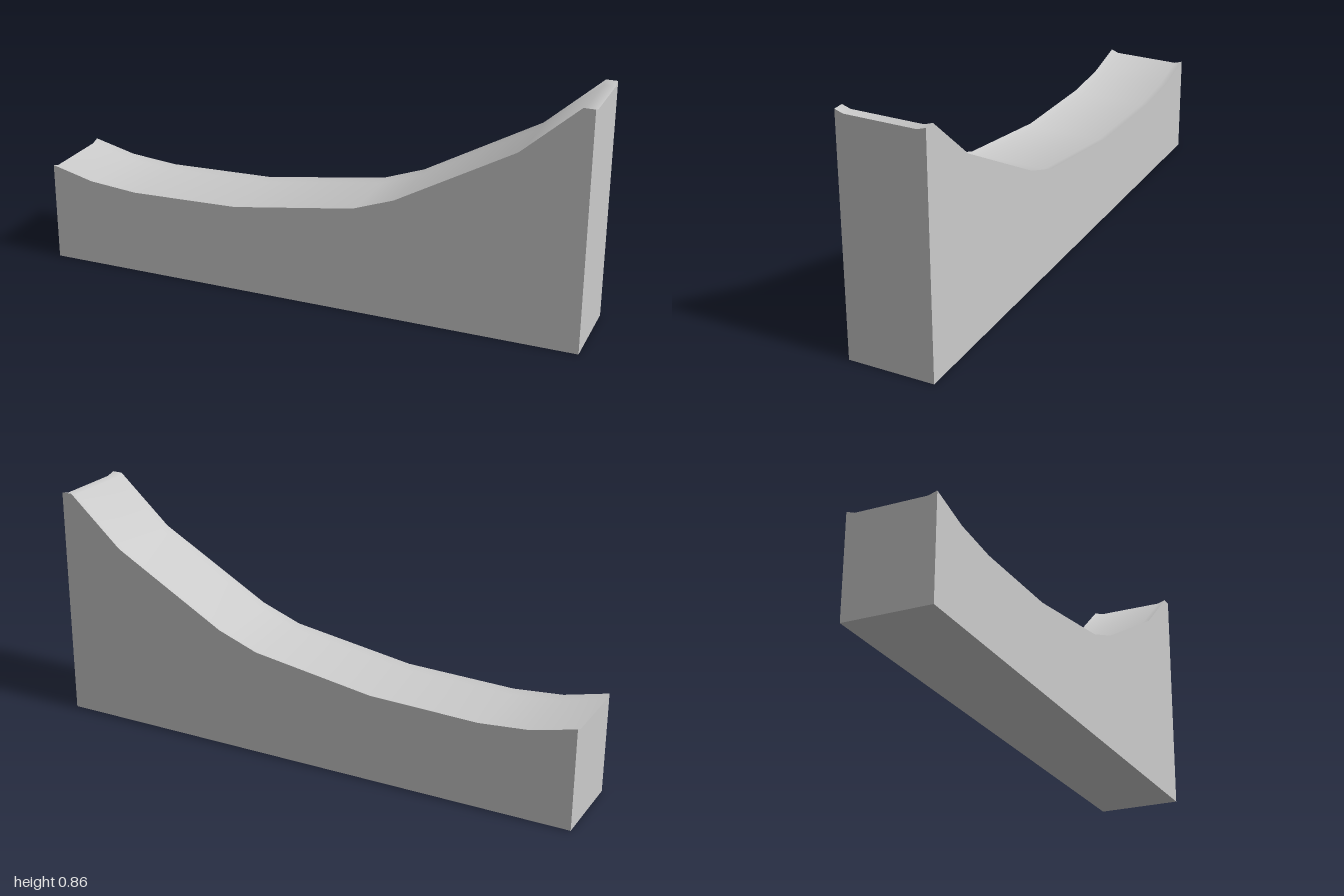
import * as THREE from 'three';
import { toCreasedNormals } from 'three/addons/utils/BufferGeometryUtils.js';

// Rim height along the length: [x, y]
const PROFILE = [
  [-1, 0.368], [-0.84, 0.328], [-0.66, 0.312], [-0.26, 0.322], [0.19, 0.39],
  [0.34, 0.445], [0.76, 0.68], [0.96, 0.858], [1, 0.858],
];

// Columns across the width: [z, drop below the rim]
const COLUMNS = [[-0.155, 0], [-0.125, 0.01], [0.125, 0.01], [0.155, 0]];

// Loops of eight points (dished top, flat bottom) joined along x
function blockGeometry() {
  const positions = [];
  const index = [];
  const quad = (a, b, c, d) => index.push(a, b, c, a, c, d);
  const n = COLUMNS.length * 2;

  for (const [x, y] of PROFILE) {
    for (const [z, drop] of COLUMNS) positions.push(x, y - drop, z);
    for (const [z] of [...COLUMNS].reverse()) positions.push(x, 0, z);
  }

  // Top, sides and bottom
  for (let i = 0; i < PROFILE.length - 1; i++) {
    for (let j = 0; j < n; j++) {
      const k = (j + 1) % n;
      quad(i * n + j, i * n + k, (i + 1) * n + k, (i + 1) * n + j);
    }
  }

  // End faces
  const last = (PROFILE.length - 1) * n;
  for (let j = 0; j < COLUMNS.length - 1; j++) {
    const k = n - 1 - j;
    quad(last + j, last + j + 1, last + k - 1, last + k);
    quad(k, k - 1, j + 1, j);
  }

  const geometry = new THREE.BufferGeometry();
  geometry.setAttribute('position', new THREE.Float32BufferAttribute(positions, 3));
  geometry.setIndex(index);
  return toCreasedNormals(geometry, 1);
}

export function createModel() {
  const group = new THREE.Group();
  group.name = 'curvedRamp';
  const block = new THREE.Mesh(
    blockGeometry(),
    new THREE.MeshStandardMaterial({ color: 0xcccccc }),
  );
  block.name = 'rampBlock';
  group.add(block);
  return group;
}
